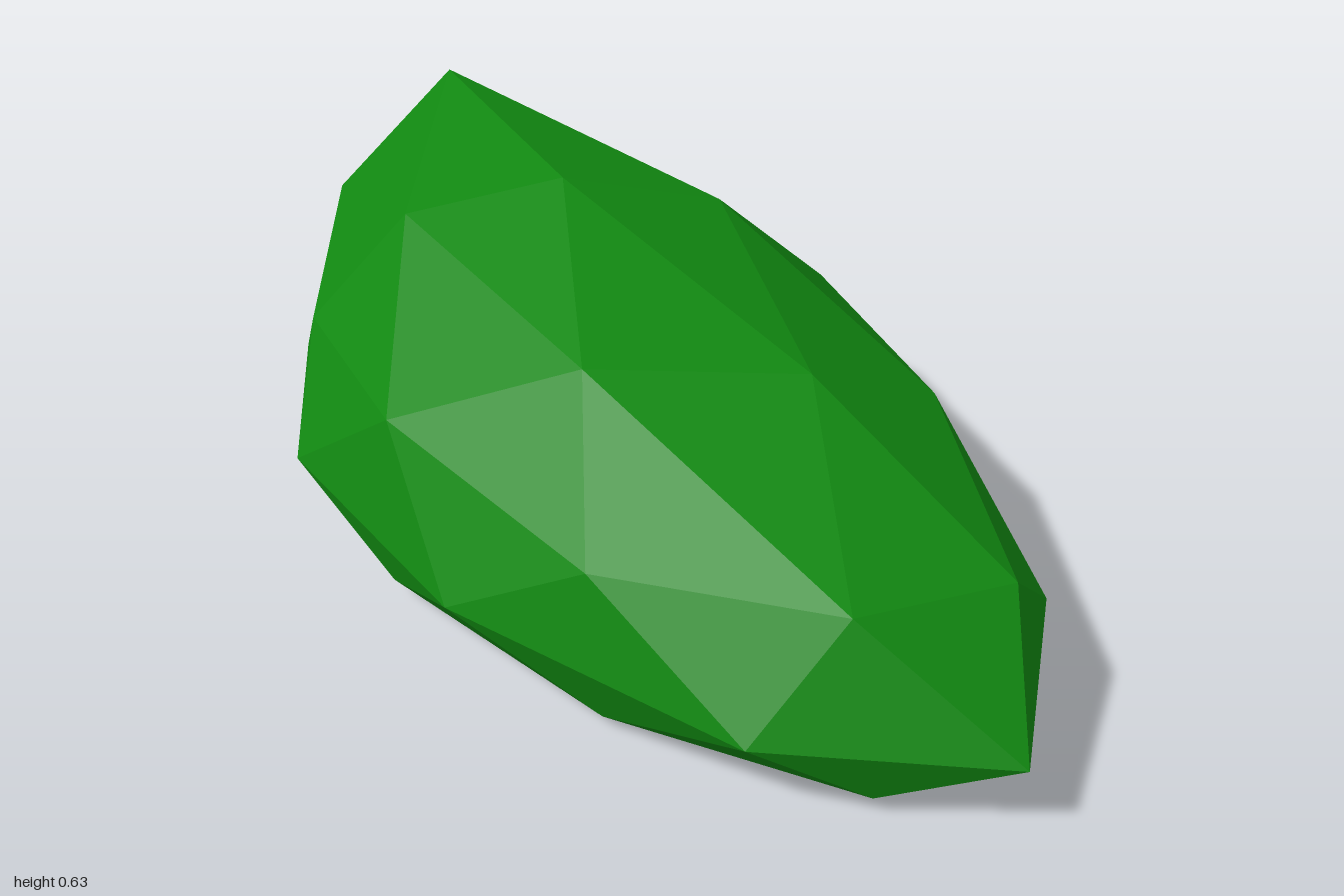
import * as THREE from 'three';

// Rings of points from top to bottom, running from +x towards +z.
const top = [0, 0.635, -0.29];
const crown = [[0.295, 0.54, -0.2], [0.09, 0.495, 0.335], [-0.24, 0.52, 0.13], [-0.24, 0.56, -0.46], [0.09, 0.625, -0.85]];
const shoulder = [
  [0.505, 0.335, -0.14], [0.385, 0.345, 0.33], [0.155, 0.31, 0.79], [-0.15, 0.345, 0.74], [-0.405, 0.32, 0.38],
  [-0.48, 0.37, -0.13], [-0.405, 0.35, -0.55], [-0.15, 0.41, -0.9], [0.155, 0.35, -1], [0.385, 0.405, -0.7],
];
const rim = [
  [0.535, 0.155, 0.14], [0.33, 0.14, 0.7], [0, 0.145, 1], [-0.33, 0.145, 0.71], [-0.535, 0.155, 0.14],
  [-0.535, 0.16, -0.4], [-0.33, 0.165, -0.75], [0, 0.165, -0.97], [0.33, 0.165, -0.86], [0.535, 0.16, -0.4],
];
const skirt = [
  [0.48, 0.035, -0.1], [0.405, 0.035, 0.41], [0.15, 0.02, 0.8], [-0.155, 0.035, 0.82], [-0.39, 0.025, 0.4],
  [-0.505, 0.05, -0.1], [-0.39, 0.04, -0.6], [-0.155, 0.045, -0.82], [0.15, 0.04, -0.82], [0.405, 0.045, -0.6],
];
const base = [[0.24, 0.005, 0.35], [-0.09, 0, 0.55], [-0.3, 0.01, 0], [-0.09, 0.02, -0.5], [0.24, 0.015, -0.35]];
const bottom = [0, 0.005, 0];

const at = (ring, i) => ring[(i + ring.length) % ring.length];

export function createModel() {
  const positions = [];
  const tri = (a, b, c) => positions.push(...a, ...b, ...c);

  // Top and bottom caps: a fan, then three faces per corner out to the ten-sided ring
  for (let i = 0; i < 5; i++) {
    const c = crown[i], c2 = at(crown, i + 1), s = 2 * i;
    tri(top, c2, c);
    tri(c, at(shoulder, s + 1), at(shoulder, s));
    tri(c, at(shoulder, s), at(shoulder, s - 1));
    tri(c, c2, at(shoulder, s + 1));

    const b = base[i], b2 = at(base, i + 1), k = 2 * i + 1;
    tri(bottom, b, b2);
    tri(b, at(skirt, k), at(skirt, k + 1));
    tri(b, at(skirt, k - 1), at(skirt, k));
    tri(b, at(skirt, k + 1), b2);
  }

  // Side bands: the rim sits half a step between the rings above and below
  for (let i = 0; i < 10; i++) {
    const r = rim[i], r0 = at(rim, i - 1);
    tri(shoulder[i], r, r0);
    tri(shoulder[i], at(shoulder, i + 1), r);
    tri(skirt[i], r0, r);
    tri(skirt[i], r, at(skirt, i + 1));
  }

  const geometry = new THREE.BufferGeometry();
  geometry.setAttribute('position', new THREE.Float32BufferAttribute(positions, 3));
  geometry.computeVertexNormals();

  const body = new THREE.Mesh(geometry, new THREE.MeshStandardMaterial({ color: 0x118811, flatShading: true }));
  body.name = 'facetedBody';

  const group = new THREE.Group();
  group.name = 'facetedShell';
  group.add(body);
  return group;
}
